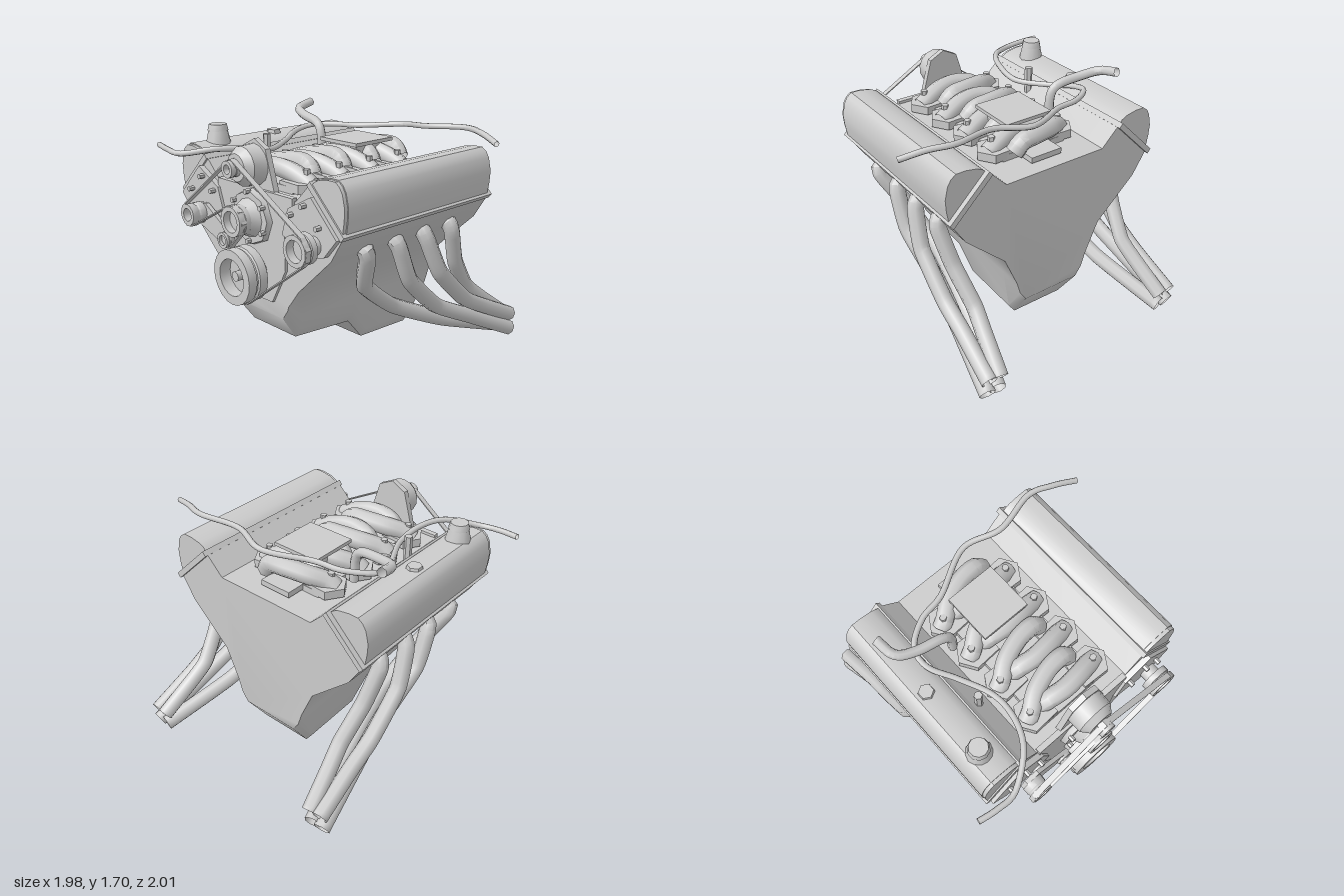
import * as THREE from 'three';
import { toCreasedNormals } from 'three/addons/utils/BufferGeometryUtils.js';

const metal = new THREE.MeshStandardMaterial({ color: 0xcccccc });
const thin = new THREE.MeshStandardMaterial({ color: 0xcccccc, side: THREE.DoubleSide });

function add(parent, name, geo, mat = metal, crease = 0.8) {
  const mesh = new THREE.Mesh(toCreasedNormals(geo, crease), mat);
  mesh.name = name;
  parent.add(mesh);
}
// Cylinder lying along z, from z0 (radius r0) to z1 (radius r1)
function rod(parent, name, x, y, z0, z1, r0, r1 = r0, sides = 16) {
  const g = new THREE.CylinderGeometry(r1, r0, z1 - z0, sides);
  add(parent, name, g.rotateX(Math.PI / 2).translate(x, y, (z0 + z1) / 2));
}
// Upright cylinder, from y0 to y1
function post(parent, name, x, z, y0, y1, r0, r1 = r0, sides = 8) {
  const g = new THREE.CylinderGeometry(r1, r0, y1 - y0, sides);
  add(parent, name, g.translate(x, (y0 + y1) / 2, z));
}
// Outline pushed along z from z0 to z1
function slabGeometry(pts, z0, z1) {
  const shape = new THREE.Shape(pts.map(p => new THREE.Vector2(...p)));
  return new THREE.ExtrudeGeometry(shape, { depth: z1 - z0, bevelEnabled: false }).translate(0, 0, z0);
}
function slab(parent, name, pts, z0, z1) {
  add(parent, name, slabGeometry(pts, z0, z1), metal, 0.6);
}
function hose(parent, name, pts, r, tension = 0.5, segs = 40) {
  const path = new THREE.CatmullRomCurve3(pts.map(p => new THREE.Vector3(...p)), false, 'catmullrom', tension);
  add(parent, name, new THREE.TubeGeometry(path, segs, r, 8), thin);
}
// Pulley with a grooved rim and a dished front face
function pulley(parent, name, x, y, z0, z1, r, inner, sides = 20) {
  const d = z1 - z0;
  const prof = [[0, 0], [r, 0], [r, d * 0.4], [r * 0.93, d * 0.45], [r * 0.93, d * 0.52], [r, d * 0.57],
    [r, d], [inner, d], [inner, d * 0.45], [0, d * 0.45]].map(p => new THREE.Vector2(...p));
  add(parent, name, new THREE.LatheGeometry(prof, sides).rotateX(Math.PI / 2).translate(x, y, z0));
}

// Block and oil pan: one cross-section carried along z over the sump profile
function blockGeometry() {
  const stations = [[0.78, 0.5, 0.24], [0.66, 0.33, 0.22], [0.17, 0.29, 0.22], [0.02, 0.12, 0.2],
    [-0.44, 0.1, 0.2], [-0.6, 0.33, 0.22]];
  const pos = [], idx = [];
  let n = 0;
  stations.forEach(([z, by, w]) => {
    const half = [[w, by], [w + 0.05, by + 0.07], [0.3, Math.max(0.5, by + 0.1)], [0.4, 0.73],
      [0.7, 1.01], [0.8, 1.17], [0.52, 1.45], [0.39, 1.32]];
    const ring = [...half, ...half.map(([x, y]) => [-x, y]).reverse()];
    n = ring.length;
    ring.forEach(([x, y]) => pos.push(x, y, z));
  });
  for (let k = 0; k < stations.length - 1; k++) {
    for (let j = 0; j < n; j++) {
      const a = k * n + j, b = k * n + (j + 1) % n;
      idx.push(a, a + n, b, b, a + n, b + n);
    }
  }
  const last = (stations.length - 1) * n;
  const contour = o => Array.from({ length: n }, (_, j) => new THREE.Vector2(pos[(o + j) * 3], pos[(o + j) * 3 + 1]));
  THREE.ShapeUtils.triangulateShape(contour(0), []).forEach(t => idx.push(...t));
  THREE.ShapeUtils.triangulateShape(contour(last), []).forEach(([a, b, c]) => idx.push(last + a, last + c, last + b));
  const g = new THREE.BufferGeometry();
  g.setAttribute('position', new THREE.Float32BufferAttribute(pos, 3));
  g.setIndex(idx);
  return g;
}

// One cylinder bank; s is its side
function bank(parent, s) {
  const m = pts => pts.map(([x, ...rest]) => [x * s, ...rest]);
  // Valve cover, its ends stepped in a little, and its gasket
  const cover = [[0.81, 1.19], [0.825, 1.28], [0.83, 1.36], [0.81, 1.45], [0.785, 1.49], [0.75, 1.515],
    [0.68, 1.515], [0.6, 1.5], [0.56, 1.48], [0.53, 1.45]];
  slab(parent, 'valveCover', m(cover), -0.59, 0.76);
  slab(parent, 'coverEnd', m(cover.map(([x, y]) => [0.69 + (x - 0.69) * 0.95, 1.36 + (y - 1.36) * 0.95])), 0.75, 0.785);
  slab(parent, 'coverGasket', m([[0.8, 1.16], [0.825, 1.19], [0.535, 1.475], [0.51, 1.445]]), -0.625, 0.795);
  // Cylinder head end plate with bolts
  slab(parent, 'headEndPlate', m([[0.79, 1.17], [0.57, 1.39], [0.36, 1.28], [0.3, 1.1], [0.55, 1.0], [0.68, 1.04]]), 0.77, 0.82);
  [[0.52, 1.33], [0.4, 1.25], [0.65, 1.22]].forEach(([x, y]) => rod(parent, 'plateBolt', x * s, y, 0.82, 0.86, 0.018, 0.018, 6));
  // Four header pipes gathering two by two at the rear
  [
    [[0.55, 1.03, 0.51], [0.7, 1.04, 0.51], [0.71, 0.97, 0.48], [0.57, 0.71, 0.36], [0.51, 0.46, 0.03], [0.58, 0.25, -0.42], [0.72, 0.075, -0.97]],
    [[0.55, 1.03, 0.24], [0.7, 1.04, 0.24], [0.73, 0.97, 0.21], [0.73, 0.72, 0.1], [0.69, 0.44, -0.22], [0.73, 0.29, -0.52], [0.8, 0.07, -0.97]],
    [[0.55, 1.03, -0.03], [0.7, 1.04, -0.03], [0.74, 0.97, -0.05], [0.77, 0.72, -0.16], [0.77, 0.46, -0.43], [0.77, 0.35, -0.63], [0.79, 0.18, -0.98]],
    [[0.55, 1.03, -0.3], [0.7, 1.04, -0.3], [0.73, 0.97, -0.32], [0.69, 0.72, -0.42], [0.65, 0.48, -0.6], [0.67, 0.36, -0.74], [0.71, 0.18, -0.98]],
  ].forEach(p => hose(parent, 'headerPipe', m(p), 0.057, 0.25, 48));
}

function intake(parent) {
  add(parent, 'valleyPlate', new THREE.BoxGeometry(0.5, 0.05, 1.05).translate(0, 1.34, 0.16));
  add(parent, 'rearFlange', new THREE.BoxGeometry(0.24, 0.04, 0.16).translate(0, 1.35, -0.42));
  [-0.26, 0.02, 0.3, 0.58].forEach(z => {
    for (const s of [-1, 1]) {
      // Pointed runner flange with its bolt
      const outline = [[0.12, -0.1], [0.31, -0.11], [0.38, 0], [0.31, 0.11], [0.12, 0.1]].map(([x, y]) => [x * s, y]);
      add(parent, 'runnerFlange', slabGeometry(outline, -0.03, 0.03).rotateX(Math.PI / 2).translate(0, 1.36, z));
      post(parent, 'runnerBolt', 0.27 * s, z, 1.38, 1.47, 0.024, 0.024, 6);
    }
    hose(parent, 'runner', [[-0.3, 1.36, z + 0.01], [-0.25, 1.4, z - 0.01], [-0.15, 1.44, z - 0.08], [0, 1.46, z - 0.13],
      [0.12, 1.45, z - 0.14], [0.18, 1.38, z - 0.13]], 0.065, 0.5, 20);
    hose(parent, 'runner', [[0.3, 1.36, z - 0.01], [0.23, 1.4, z], [0.12, 1.44, z + 0.02], [0, 1.45, z + 0.03],
      [-0.12, 1.43, z + 0.01], [-0.16, 1.38, z - 0.01]], 0.065, 0.5, 20);
  });
  add(parent, 'throttlePlate', new THREE.BoxGeometry(0.36, 0.025, 0.36).translate(0, 1.53, -0.125));
  add(parent, 'throttleBody', new THREE.BoxGeometry(0.26, 0.16, 0.26).translate(0, 1.44, -0.125));
}

function frontDrive(parent) {
  // Timing cover
  slab(parent, 'timingCover', [[-0.38, 1.34], [0.38, 1.34], [0.38, 1.24], [0.3, 1.08], [0.3, 0.85], [0.16, 0.6],
    [-0.16, 0.6], [-0.3, 0.85], [-0.3, 1.08], [-0.38, 1.24]], 0.76, 0.8);
  // Water pump
  rod(parent, 'waterPump', 0, 1.15, 0.79, 0.84, 0.19, 0.18, 8);
  rod(parent, 'pumpBody', 0, 1.15, 0.84, 0.9, 0.13, 0.1, 12);
  for (let i = 0; i < 6; i++) {
    const a = Math.PI / 2 + i * Math.PI / 3;
    rod(parent, 'pumpBolt', 0.165 * Math.cos(a), 1.16 + 0.165 * Math.sin(a), 0.83, 0.87, 0.018, 0.018, 6);
  }
  pulley(parent, 'pumpPulley', 0, 1.15, 0.9, 0.99, 0.1, 0.07);
  // Crank pulley
  rod(parent, 'crankHub', 0, 0.78, 0.78, 0.86, 0.12);
  pulley(parent, 'crankPulley', 0, 0.78, 0.85, 1.0, 0.187, 0.125);
  rod(parent, 'crankBolt', 0, 0.78, 0.9, 0.97, 0.035, 0.035, 8);
  // Alternator above the valley
  slab(parent, 'alternatorMount', [[-0.19, 1.33], [0.19, 1.33], [0.14, 1.5], [0.11, 1.6], [0, 1.655], [-0.11, 1.6], [-0.14, 1.5]], 0.74, 0.78);
  rod(parent, 'alternator', 0, 1.49, 0.78, 0.88, 0.135, 0.13, 14);
  rod(parent, 'alternatorNose', 0, 1.49, 0.88, 0.93, 0.13, 0.09, 14);
  pulley(parent, 'alternatorPulley', 0, 1.49, 0.93, 1.0, 0.055, 0.03);
  // Side pulley
  rod(parent, 'sidePulleyMount', 0.6, 1.1, 0.8, 0.88, 0.06);
  pulley(parent, 'sidePulley', 0.6, 1.1, 0.88, 0.98, 0.1, 0.07);
  // Tensioner bracket and idlers
  slab(parent, 'tensionerBracket', [[-0.57, 1.08], [-0.54, 1.15], [-0.44, 1.16], [-0.16, 0.99], [-0.17, 0.91], [-0.25, 0.91], [-0.53, 1.01]], 0.84, 0.87);
  rod(parent, 'bracketStand', -0.4, 1.06, 0.78, 0.84, 0.05);
  pulley(parent, 'tensioner', -0.5, 1.09, 0.87, 0.98, 0.075, 0.045, 12);
  pulley(parent, 'idler', -0.21, 0.96, 0.87, 0.91, 0.055, 0.035, 12);
  // Belt, a closed chain of thin strips
  const belt = [[-0.58, 1.08], [-0.56, 1.14], [-0.04, 1.53], [0, 1.548], [0.04, 1.53], [0.65, 1.19], [0.7, 1.12], [0.69, 1.05], [0.65, 1.01],
    [0.11, 0.62], [0, 0.592], [-0.11, 0.62], [-0.18, 0.72], [-0.18, 0.83], [0.06, 1.07], [0.1, 1.15], [0.07, 1.22], [0, 1.25],
    [-0.05, 1.24], [-0.46, 1.02], [-0.52, 1.01]];
  belt.forEach(([x, y], i) => {
    const [u, v] = belt[(i + 1) % belt.length];
    const g = new THREE.BoxGeometry(Math.hypot(u - x, v - y) + 0.004, 0.008, 0.04);
    add(parent, 'belt', g.rotateZ(Math.atan2(v - y, u - x)).translate((x + u) / 2, (y + v) / 2, 0.955));
  });
}

export function createModel() {
  const root = new THREE.Group();
  root.name = 'engine';
  const body = new THREE.Group();
  body.name = 'engineBody';
  body.position.x = -0.03;
  root.add(body);

  add(body, 'blockAndOilPan', blockGeometry(), metal, 0.75);
  bank(body, 1);
  bank(body, -1);
  intake(body);
  frontDrive(body);

  // Filler neck, cap, breather and stud on the right bank
  post(root, 'fillerNeck', -0.71, 0.57, 1.48, 1.59, 0.092, 0.068, 12);
  post(root, 'fillerCap', -0.71, 0.57, 1.59, 1.635, 0.073, 0.062, 10);
  post(root, 'breather', -0.71, 0.07, 1.48, 1.535, 0.062, 0.05, 6);
  post(root, 'stud', -0.49, 0.31, 1.36, 1.56, 0.028, 0.028, 6);

  // Loose hoses
  hose(root, 'longHose', [[-0.985, 1.49, 0.88], [-0.85, 1.48, 0.9], [-0.7, 1.47, 0.89], [-0.5, 1.51, 0.74], [-0.41, 1.5, 0.56], [-0.4, 1.47, 0.35],
    [-0.5, 1.49, 0.13], [-0.6, 1.52, -0.05], [-0.58, 1.55, -0.2], [-0.42, 1.56, -0.31], [-0.23, 1.57, -0.35],
    [0.08, 1.6, -0.5], [0.35, 1.63, -0.43], [0.64, 1.65, -0.49], [0.82, 1.64, -0.44], [0.985, 1.6, -0.38]], 0.02, 0.5, 90);
  hose(root, 'shortHose', [[-0.75, 1.69, -0.34], [-0.72, 1.66, -0.2], [-0.6, 1.63, -0.14], [-0.43, 1.6, -0.11],
    [-0.37, 1.53, -0.1], [-0.36, 1.36, -0.1]], 0.033, 0.5, 30);
  return root;
}
